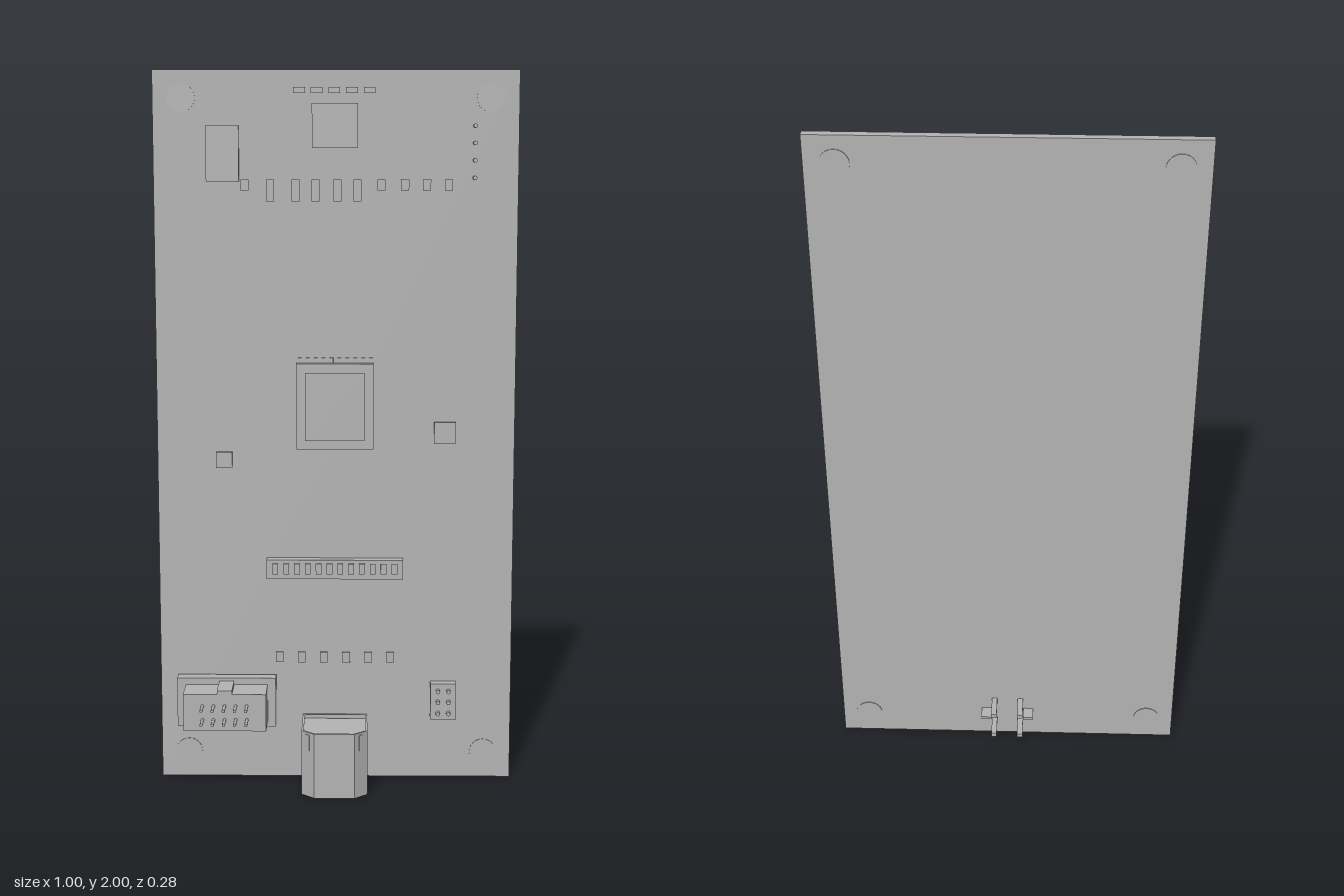
import * as THREE from 'three';

export function createModel() {
  const root = new THREE.Group();
  root.name = 'circuitBoard';
  const grey = new THREE.MeshStandardMaterial({ color: 0xb3b3b3 });
  grey.name = 'plain grey';
  const greyOpen = grey;
  const FACE = -0.05, BACK = -0.07;

  const add = (name, geometry, parent = root, material = grey) => {
    const mesh = new THREE.Mesh(geometry, material);
    mesh.name = name;
    parent.add(mesh);
    return mesh;
  };
  // box given by its limits on each axis
  const box = (name, x0, x1, y0, y1, z0, z1, parent = root) => {
    const m = add(name, new THREE.BoxGeometry(x1 - x0, y1 - y0, z1 - z0), parent);
    m.position.set((x0 + x1) / 2, (y0 + y1) / 2, (z0 + z1) / 2);
    return m;
  };
  // rod along z
  const rod = (name, x, y, r, z0, z1, parent = root, sides = 8) => {
    const g = new THREE.CylinderGeometry(r, r, z1 - z0, sides).rotateX(Math.PI / 2);
    const m = add(name, g, parent);
    m.position.set(x, y, (z0 + z1) / 2);
    return m;
  };
  const group = (name) => {
    const g = new THREE.Group();
    g.name = name;
    root.add(g);
    return g;
  };

  box('board', -0.5, 0.5, 0, 2, BACK, FACE);

  // mounting pads on both faces at the corners
  for (const x of [-0.422, 0.422])
    for (const y of [0.075, 1.925]) rod('mountingPad', x, y, 0.038, BACK - 0.002, FACE + 0.002, root, 24);

  // flat chips
  box('upperLeftChip', -0.355, -0.265, 1.7, 1.85, FACE, -0.036);
  box('upperMiddleChip', -0.065, 0.06, 1.79, 1.91, FACE, -0.034);
  box('smallLeftChip', -0.335, -0.29, 0.905, 0.95, FACE, -0.036);
  box('smallRightChip', 0.275, 0.335, 0.975, 1.035, FACE, -0.036);

  // processor with raised lid and a row of contacts
  const processor = group('processor');
  box('processorBase', -0.11, 0.105, 0.96, 1.2, FACE, -0.029, processor);
  box('processorLid', -0.085, 0.08, 0.985, 1.175, -0.03, -0.023, processor);
  for (let i = 0; i < 10; i++) {
    const x = -0.1 + i * 0.022;
    box('processorContact', x - 0.005, x + 0.005, 1.198, 1.215, FACE, -0.046, processor);
  }

  // long connector bar with contacts
  const bar = group('barConnector');
  box('barBody', -0.195, 0.19, 0.59, 0.645, FACE, -0.02, bar);
  for (let i = 0; i < 12; i++) {
    const x = -0.17 + i * 0.0305;
    box('barContact', x - 0.008, x + 0.008, 0.605, 0.635, -0.021, -0.015, bar);
  }

  // pads along the top, and rows of small surface parts
  for (let i = 0; i < 5; i++) {
    const x = -0.1 + i * 0.048;
    box('topPad', x - 0.016, x + 0.016, 1.937, 1.953, FACE, -0.043);
  }
  [-0.25, -0.18, -0.11, -0.055, 0.005, 0.06, 0.125, 0.19, 0.25, 0.31].forEach((x, i) => {
    const tall = i > 0 && i < 6;
    box('upperSurfacePart', x - 0.011, x + 0.011, tall ? 1.645 : 1.675, 1.705, FACE, -0.045);
  });
  for (let i = 0; i < 6; i++) {
    const x = -0.16 + i * 0.063;
    box('lowerSurfacePart', x - 0.011, x + 0.011, 0.34, 0.37, FACE, -0.045);
  }

  // indicator studs
  for (const y of [1.71, 1.757, 1.804, 1.85]) rod('indicatorStud', 0.38, y, 0.006, FACE, -0.027);

  // ten pin header
  const header = group('tenPinHeader');
  box('headerFoot', -0.355, -0.265, 0.18, 0.285, FACE, -0.035, header);
  box('headerFlange', -0.45, -0.17, 0.163, 0.305, -0.041, -0.004, header);
  box('headerBody', -0.425, -0.193, 0.18, 0.286, -0.005, 0.09, header);
  box('headerKey', -0.33, -0.288, 0.28, 0.297, -0.005, 0.09, header);
  for (let i = 0; i < 5; i++)
    for (const y of [0.213, 0.253]) rod('headerPin', -0.371 + i * 0.031, y, 0.0045, 0.08, 0.14, header);

  // six pin header
  const six = group('sixPinHeader');
  box('sixPinBody', 0.27, 0.343, 0.18, 0.285, FACE, -0.019, six);
  for (const x of [0.291, 0.321])
    for (const y of [0.2, 0.233, 0.265]) rod('sixPinPin', x, y, 0.006, -0.025, -0.004, six);

  // square socket: chamfered shell open below, with a recessed top
  const socket = group('squareSocket');
  const outline = (o) => [
    [-0.094 + o, FACE], [0.09 - o, FACE], [0.09 - o, 0.1 - o * 0.4],
    [0.054 - o * 0.4, 0.132 - o], [-0.058 + o * 0.4, 0.132 - o], [-0.094 + o, 0.1 - o * 0.4],
  ].map(([x, z], i) => new THREE.Vector2(x, -(i < 2 ? z + o : z)));
  const upright = (shape, y0, y1) =>
    new THREE.ExtrudeGeometry(shape, { depth: y1 - y0, bevelEnabled: false })
      .rotateX(-Math.PI / 2).translate(0, y0, 0);
  const shell = new THREE.Shape(outline(0));
  shell.holes.push(new THREE.Path(outline(0.006)));
  add('socketShell', upright(shell, 0, 0.186), socket, greyOpen);
  add('socketTop', upright(new THREE.Shape(outline(0.005)), 0.155, 0.174), socket);
  // thin slots on the chamfers
  for (const s of [-1, 1]) {
    const slot = add('socketSlot', new THREE.BoxGeometry(0.014, 0.045, 0.004), socket);
    slot.position.set(-0.002 + s * 0.074, 0.157, 0.1165);
    slot.rotation.y = s * 0.727;
  }
  // solder pins and locating pegs behind the board
  for (const s of [-1, 1]) {
    for (const y of [0.057, 0.135])
      box('socketPin', s * 0.039 - 0.008, s * 0.039 + 0.008, y - 0.007, y + 0.007, -0.142, BACK + 0.005, socket);
    box('socketPeg', s * 0.063 - 0.015, s * 0.063 + 0.015, 0.093, 0.101, -0.11, BACK + 0.005, socket);
  }
  return root;
}
